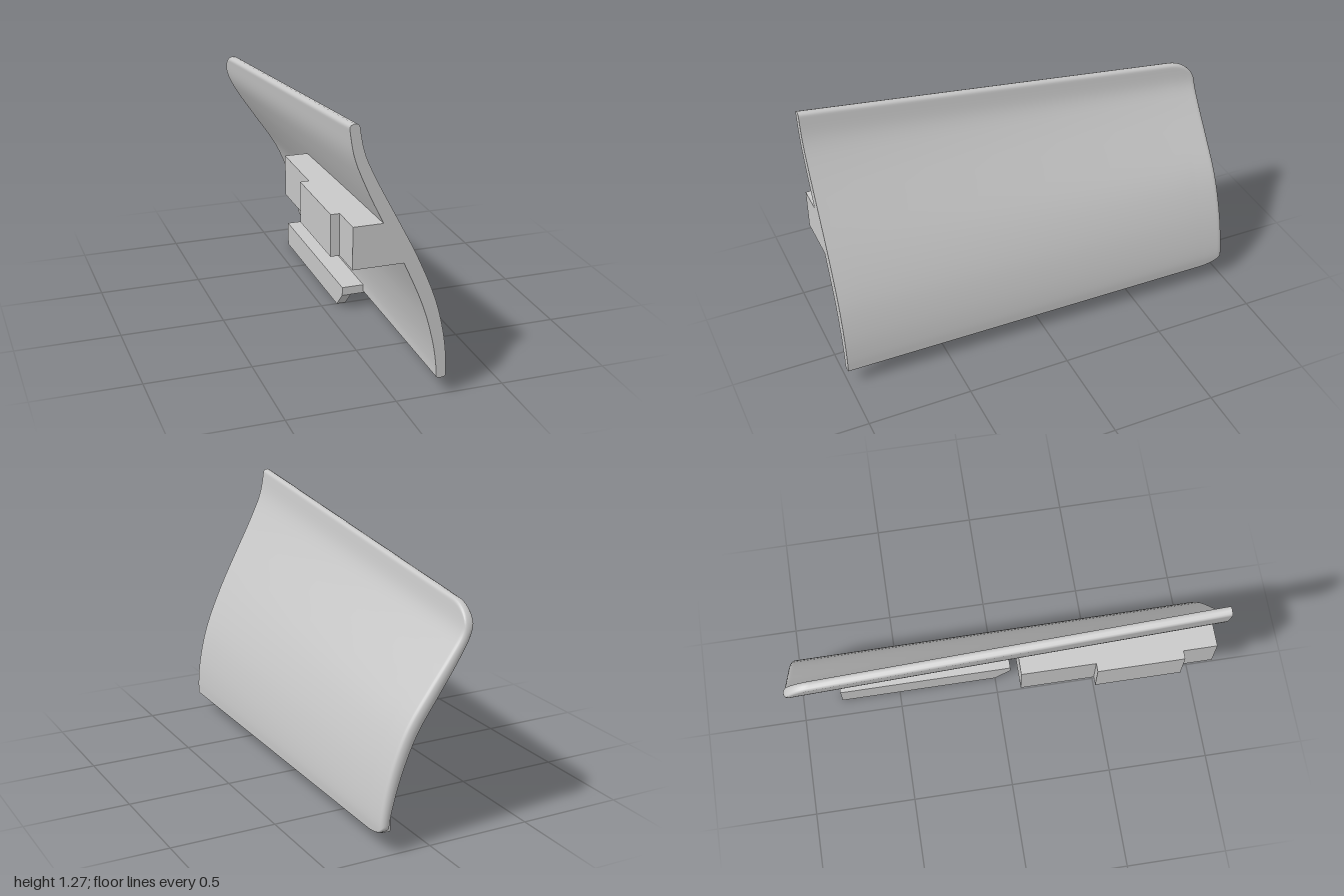
import * as THREE from 'three';
import { mergeVertices } from 'three/addons/utils/BufferGeometryUtils.js';

const grey = new THREE.MeshStandardMaterial({ color: 0xc8c8c8 });
grey.name = 'light grey';

// centre line of the panel at its front end and at its rear end, bottom to top
const curve = pts => new THREE.CatmullRomCurve3(pts.map(([x, y]) => new THREE.Vector3(x, y, 0)));
const frontLine = curve([[.205, .08], [.203, .15], [.187, .27], [.143, .44], [.057, .645],
  [-.038, .835], [-.12, 1.0], [-.178, 1.14], [-.203, 1.275]]);
const rearLine = curve([[.218, .08], [.218, .14], [.2, .24], [.16, .38], [.092, .54],
  [-.015, .7], [-.105, .83], [-.163, .93], [-.187, 1.045]]);

const ROWS = 44, EDGE = 0.022, CORNER = 0.13;
const centre = (t, k) => frontLine.getPoint(t).lerp(rearLine.getPoint(t), k);
// quarter-circle easing for rounded rims
const rim = (d, r) => d >= r ? 1 : Math.sqrt(Math.max(0, 1 - ((r - d) / r) ** 2));

// one cross-section: pairs of outer and inner points
function section(z) {
  const k = (1 - z) / 2, d = z + 1, length = 1.3 - 0.2 * k;
  const trim = CORNER * (1 - rim(d, CORNER)) / length;
  const outer = [], inner = [];
  for (let j = 0; j <= ROWS; j++) {
    const u = j / ROWS;
    const s = u - 0.85 * Math.sin(2 * Math.PI * u) / (2 * Math.PI); // denser near the rims
    const t = trim + (1 - 2 * trim) * s;
    const p = centre(t, k);
    const a = centre(Math.max(0, t - .01), k), b = centre(Math.min(1, t + .01), k);
    const n = new THREE.Vector3(b.y - a.y, a.x - b.x, 0).normalize();
    const edge = Math.min(s, 1 - s) * (1 - 2 * trim) * length;
    const half = (0.022 + 0.010 * Math.sin(Math.PI * t) ** 2) * rim(edge, EDGE) * rim(d, EDGE);
    outer.push([p.x + n.x * half, p.y + n.y * half, z]);
    inner.push([p.x - n.x * half, p.y - n.y * half, z]);
  }
  return { outer, inner };
}

function geometryFrom(positions) {
  const g = new THREE.BufferGeometry();
  g.setAttribute('position', new THREE.Float32BufferAttribute(positions, 3));
  return g;
}

function panelGeometries() {
  const zs = [];
  for (let i = 0; i <= 14; i++) zs.push(-1 + CORNER * (i / 14) ** 2);
  for (let i = 1; i <= 16; i++) zs.push(-1 + CORNER + (2 - CORNER) * i / 16);
  const sections = zs.map(section);
  const skin = [], cap = [];
  const quad = (out, a, b, c, d) => out.push(...a, ...b, ...c, ...a, ...c, ...d);
  for (let i = 0; i < sections.length - 1; i++) {
    const A = sections[i], B = sections[i + 1];
    for (let j = 0; j < ROWS; j++) {
      quad(skin, B.outer[j], A.outer[j], A.outer[j + 1], B.outer[j + 1]);
      quad(skin, A.inner[j], B.inner[j], B.inner[j + 1], A.inner[j + 1]);
    }
  }
  const F = sections[sections.length - 1];
  for (let j = 0; j < ROWS; j++) quad(cap, F.inner[j], F.outer[j], F.outer[j + 1], F.inner[j + 1]);
  const smooth = mergeVertices(geometryFrom(skin), 1e-5);
  smooth.computeVertexNormals();
  const flat = geometryFrom(cap);
  flat.computeVertexNormals();
  return [smooth, flat];
}

export function createModel() {
  const model = new THREE.Group();
  const add = (name, geometry) => {
    const mesh = new THREE.Mesh(geometry, grey);
    mesh.name = name;
    model.add(mesh);
    return mesh;
  };
  const box = (name, x0, x1, y0, y1, z0, z1) =>
    add(name, new THREE.BoxGeometry(x1 - x0, y1 - y0, z1 - z0))
      .position.set((x0 + x1) / 2, (y0 + y1) / 2, (z0 + z1) / 2);
  const prism = (name, pts, depth) => add(name, new THREE.ExtrudeGeometry(
    new THREE.Shape(pts.map(p => new THREE.Vector2(...p))), { depth, bevelEnabled: false }));

  // curved panel with a flat front end
  const [skin, cap] = panelGeometries();
  add('curvedPanel', skin);
  add('panelFrontEdge', cap);

  // mounting block on the hollow side, with a raised pad
  prism('mountingBlock', [[-.205, .645], [.045, .645], [-.06, .835], [-.205, .835]], .92)
    .position.z = .08;
  box('mountingPad', -.245, -.2, .645, .835, .43, .84);

  // lower L-shaped rail with a chamfered front end
  box('railFlange', .08, .205, .08, .122, -.8, .08);
  const lip = prism('railLip', [[-.08, .08], [0, 0], [.8, 0], [.8, .08]], .045);
  lip.rotation.y = Math.PI / 2;
  lip.position.x = .08;

  return model;
}
